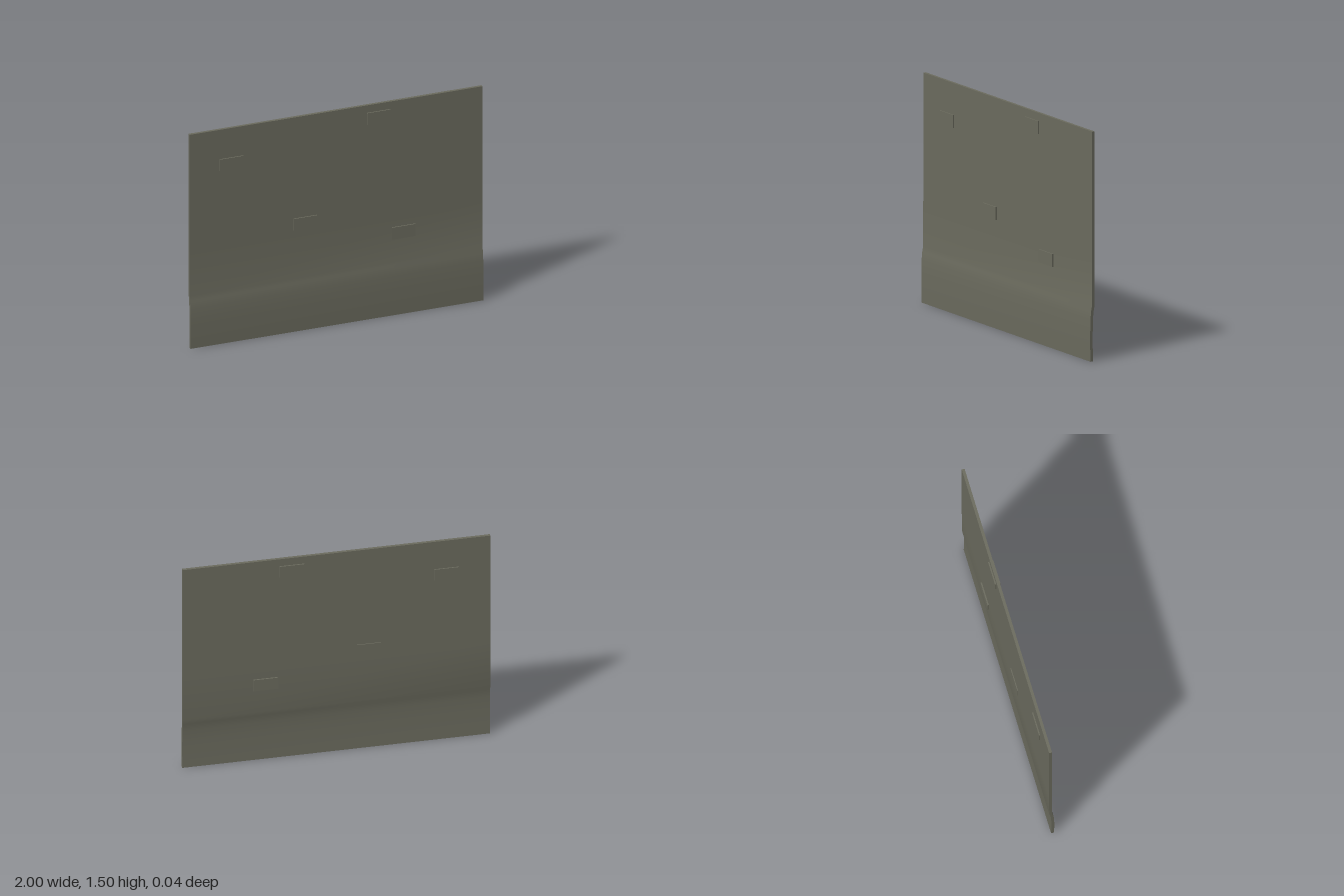
import * as THREE from 'three';
import { toCreasedNormals } from 'three/addons/utils/BufferGeometryUtils.js';

export function createModel() {
  const model = new THREE.Group();
  const olive = new THREE.MeshStandardMaterial({ color: 0x6b6b5e });
  olive.name = 'olive grey';

  // Thin sheet: centreline [z, y] from hem to top, kicking forward at the bottom
  const line = [
    [0.009, 0], [0.011, 0.09], [0.011, 0.19], [0.009, 0.28],
    [0.004, 0.33], [-0.003, 0.365], [-0.004, 0.7], [-0.004, 1.5],
  ];
  const half = 0.0095;
  const outline = [
    ...line.map(([z, y]) => new THREE.Vector2(z + half, y)),
    ...line.map(([z, y]) => new THREE.Vector2(z - half, y)).reverse(),
  ];
  const extruded = new THREE.ExtrudeGeometry(new THREE.Shape(outline), { depth: 2, bevelEnabled: false });
  extruded.translate(0, 0, -1).rotateY(-Math.PI / 2);
  const sheet = new THREE.Mesh(toCreasedNormals(extruded, Math.PI / 5), olive);
  sheet.name = 'sheet';
  model.add(sheet);

  // Small rectangular blocks passing through the sheet: x, y, back z
  const blocks = [
    [-0.715, 1.252, -0.021],
    [-0.21, 0.748, -0.019],
    [0.46, 0.572, -0.022],
    [0.29, 1.406, -0.022],
  ];
  const front = 0.014;
  blocks.forEach(([x, y, back], i) => {
    const block = new THREE.Mesh(new THREE.BoxGeometry(0.16, 0.084, front - back), olive);
    block.position.set(x, y, (front + back) / 2);
    block.name = `block${i + 1}`;
    model.add(block);
  });

  return model;
}
